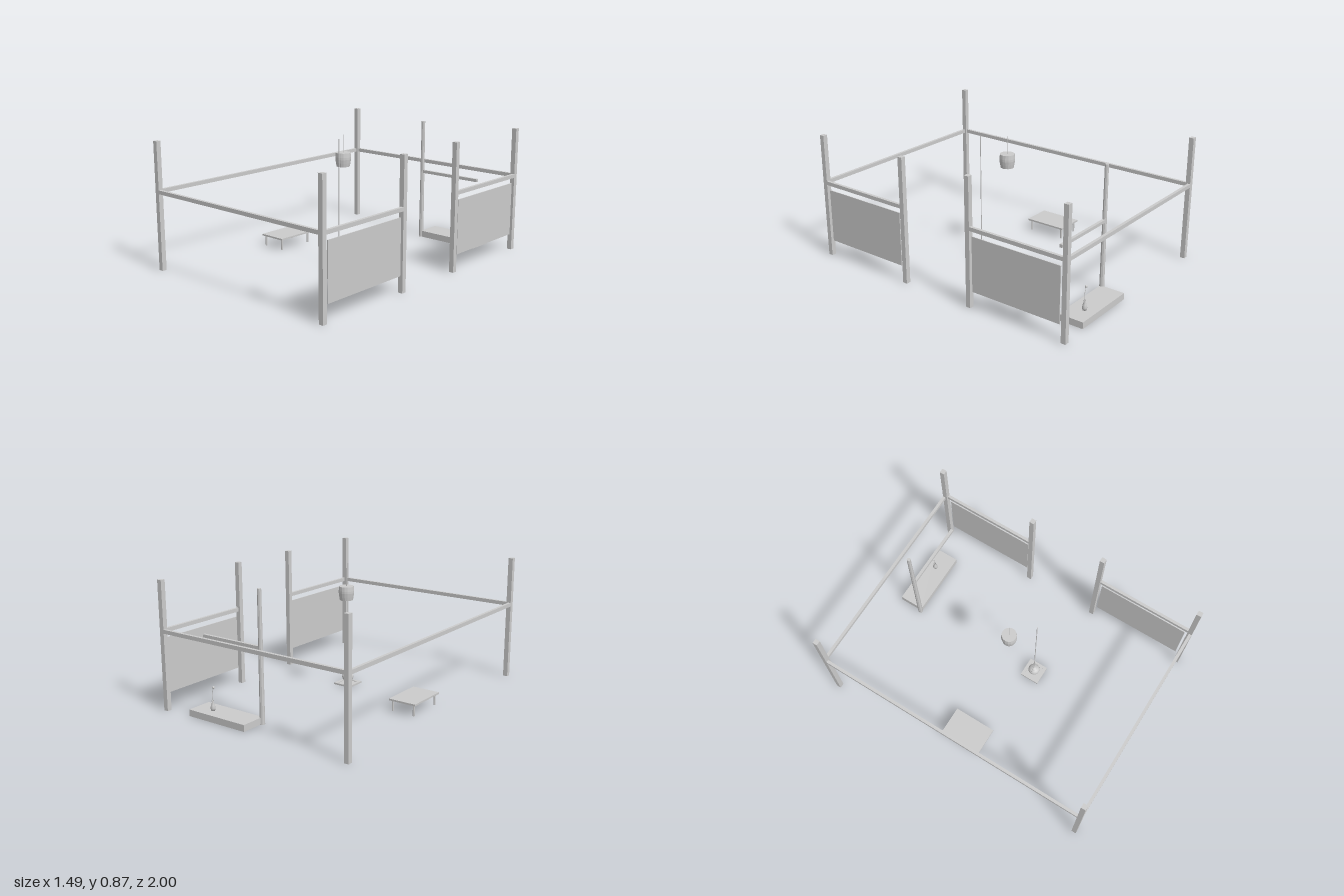
import * as THREE from 'three';

const mat = new THREE.MeshStandardMaterial({ color: 0xcccccc, side: THREE.DoubleSide });
const flat = new THREE.MeshStandardMaterial({ color: 0xcccccc, side: THREE.DoubleSide, flatShading: true });

function add(parent, name, geo, x, y, z, material = mat) {
  const m = new THREE.Mesh(geo, material);
  m.name = name;
  m.position.set(x, y, z);
  parent.add(m);
  return m;
}

// box given by its min and max on each axis
function box(parent, name, [x0, x1], [y0, y1], [z0, z1]) {
  return add(parent, name, new THREE.BoxGeometry(x1 - x0, y1 - y0, z1 - z0),
    (x0 + x1) / 2, (y0 + y1) / 2, (z0 + z1) / 2);
}

// upright round bar standing on y0
function rod(parent, name, rTop, rBottom, y0, y1, x, z, sides = 8, material = mat) {
  return add(parent, name, new THREE.CylinderGeometry(rTop, rBottom, y1 - y0, sides),
    x, (y0 + y1) / 2, z, material);
}

function lathe(points, sides) {
  return new THREE.LatheGeometry(points.map(([r, y]) => new THREE.Vector2(r, y)), sides);
}

function group(parent, name, x = 0, y = 0, z = 0) {
  const g = new THREE.Group();
  g.name = name;
  g.position.set(x, y, z);
  parent.add(g);
  return g;
}

export function createModel() {
  const root = new THREE.Group();
  root.name = 'teaRoom';
  const H = 0.872, X = 0.745, P = 0.033, B = 0.02;
  const beamY = [0.524, 0.55];

  // Timber frame: corner posts, doorway posts, beams flush with the outside
  const frame = group(root, 'timberFrame');
  const post = (name, x, z) =>
    box(frame, name, [x - P / 2, x + P / 2], [0, H], [z - P / 2, z + P / 2]);
  for (const sx of [-1, 1]) for (const sz of [-1, 1])
    post('cornerPost', sx * (X - P / 2), sz * (1 - P / 2));
  box(frame, 'rightBeam', [-X, -X + B], beamY, [-1, 1]);
  for (const s of [-1, 1]) {
    post('doorPost', X - P / 2, s * 0.27);
    const zs = (a, b) => (s > 0 ? [a, b] : [-b, -a]);
    box(frame, 'endBeam', [-X, X], beamY, zs(1 - B, 1));
    box(frame, 'leftBeam', [X - B, X], beamY, zs(0.256, 1));
    box(frame, 'wallPanel', [X - 0.013, X - 0.007], [0.115, 0.488], zs(0.3, 0.95));
  }

  // Alcove: raised floor, round pillar, lintel
  const alcove = group(root, 'alcove');
  box(alcove, 'alcoveFloor', [0.063, 0.533], [0, 0.045], [-0.98, -0.803]);
  box(alcove, 'alcoveLintel', [0.06, 0.54], [0.489, 0.51], [-0.824, -0.804]);
  rod(alcove, 'alcovePillar', 0.013, 0.017, 0, H, 0.059, -0.812, 8, flat);

  // Vase with a single flower
  const vase = group(root, 'flowerVase', 0.397, 0.045, -0.902);
  add(vase, 'vase', lathe([[0, 0], [0.013, 0], [0.0165, 0.016], [0.013, 0.036],
    [0.006, 0.054], [0.008, 0.066], [0.005, 0.064], [0, 0.05]], 16), 0, 0, 0);
  const stem = new THREE.CatmullRomCurve3([[0, 0.05, 0], [0.003, 0.09, 0], [0.002, 0.115, 0],
    [-0.01, 0.155, 0]].map(p => new THREE.Vector3(...p)));
  add(vase, 'stem', new THREE.TubeGeometry(stem, 12, 0.0018, 6), 0, 0, 0);
  add(vase, 'flower', new THREE.SphereGeometry(0.009, 10, 8), -0.011, 0.156, 0);

  // Low table
  const table = group(root, 'lowTable');
  box(table, 'tableTop', [-0.65, -0.45], [0.075, 0.087], [-0.15, 0.15]);
  for (const sx of [-1, 1]) for (const sz of [-1, 1])
    rod(table, 'tableLeg', 0.007, 0.007, 0, 0.076, -0.55 + sx * 0.08, sz * 0.13);

  // Hanging paper lantern
  const lantern = group(root, 'lantern');
  add(lantern, 'lanternShade', lathe([[0, 0.655], [0.045, 0.655], [0.0495, 0.68], [0.053, 0.705],
    [0.053, 0.72], [0.05, 0.749], [0, 0.749]], 16), 0, 0, 0, flat);
  rod(lantern, 'lanternCord', 0.002, 0.002, 0.749, H, 0, 0, 6);

  // Sunken hearth: square rim around an ash bed
  const hearth = group(root, 'hearth', 0.098, 0, 0.15);
  for (const s of [-1, 1]) {
    add(hearth, 'hearthRim', new THREE.BoxGeometry(0.138, 0.012, 0.022), 0, 0.006, s * 0.058);
    add(hearth, 'hearthRim', new THREE.BoxGeometry(0.022, 0.012, 0.094), s * 0.058, 0.006, 0);
  }
  add(hearth, 'ashBed', new THREE.BoxGeometry(0.094, 0.008, 0.094), 0, 0.004, 0);

  // Kettle hung over the hearth
  const kettle = group(root, 'kettle', 0.098, 0.024, 0.15);
  add(kettle, 'kettleBody', lathe([[0, 0], [0.022, 0], [0.035, 0.011], [0.041, 0.027],
    [0.037, 0.044], [0.024, 0.055], [0.018, 0.056]], 20), 0, 0, 0);
  add(kettle, 'kettleLid', lathe([[0.02, 0.055], [0.019, 0.06], [0.009, 0.064],
    [0.004, 0.065], [0.004, 0.07], [0, 0.071]], 16), 0, 0, 0);
  const path = new THREE.CurvePath();
  const pts = [[-0.03, 0.048], [-0.025, 0.079], [0.025, 0.079], [0.03, 0.048]]
    .map(([x, y]) => new THREE.Vector3(x, y, 0));
  for (let i = 0; i < 3; i++) path.add(new THREE.LineCurve3(pts[i], pts[i + 1]));
  add(kettle, 'kettleHandle', new THREE.TubeGeometry(path, 30, 0.0025, 6), 0, 0, 0);
  rod(kettle, 'hangingRod', 0.003, 0.003, 0.079, H - 0.024, 0, 0, 6);

  return root;
}
